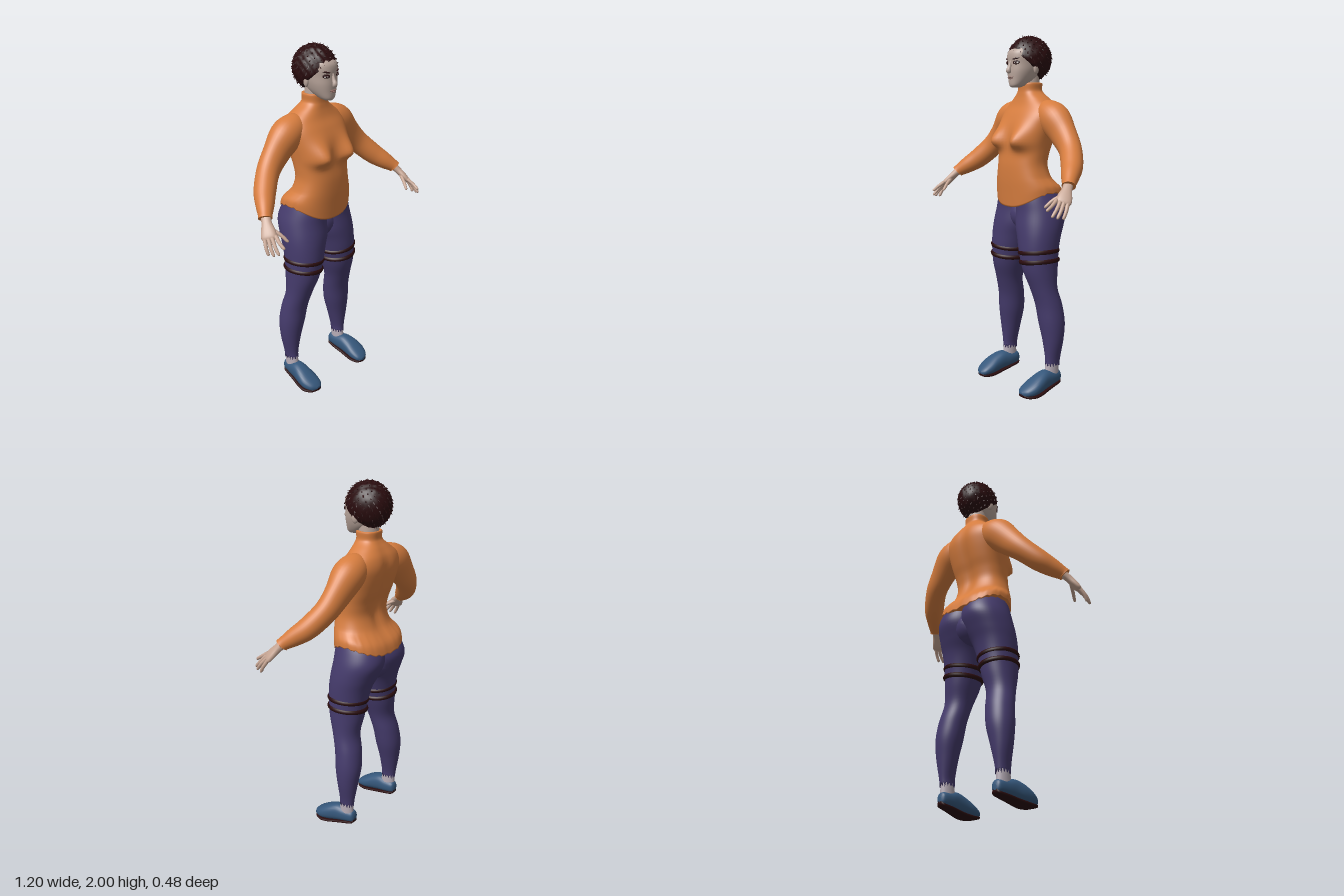
import * as THREE from 'three';
import { mergeGeometries } from 'three/addons/utils/BufferGeometryUtils.js';

const V = (x, y, z) => new THREE.Vector3(x, y, z);
const mat = (name, color) => Object.assign(new THREE.MeshStandardMaterial({ color }), { name });

// Catmull-Rom interpolation of every column of a table of sections
function smooth(rows, n = 5) {
  const out = [], at = (i) => rows[Math.min(Math.max(i, 0), rows.length - 1)];
  for (let i = 0; i < rows.length - 1; i++)
    for (let k = 0; k < n; k++) {
      const t = k / n;
      out.push(rows[i].map((b, c) => {
        const a = at(i - 1)[c], d = at(i + 1)[c], e = at(i + 2)[c];
        return b + 0.5 * t * (d - a + t * (2 * a - 5 * b + 4 * d - e + t * (3 * (b - d) + e - a)));
      }));
    }
  out.push(rows[rows.length - 1]);
  return out;
}

// Superellipse ring around c; rx along X (sine), rz along Z (cosine)
function ring(c, X, Z, rx, rz, n = 32, p = 2) {
  const f = (t) => Math.sign(t) * Math.abs(t) ** (2 / p);
  return Array.from({ length: n }, (_, j) => {
    const a = (j / n) * Math.PI * 2;
    return c.clone().addScaledVector(X, rx * f(Math.sin(a))).addScaledVector(Z, rz * f(Math.cos(a)));
  });
}

// Skin over rings, with both ends closed
function loft(rings) {
  const n = rings[0].length, m = rings.length, pts = rings.flat(), idx = [];
  for (let i = 0; i < m - 1; i++)
    for (let j = 0; j < n; j++) {
      const a = i * n + j, b = i * n + (j + 1) % n;
      idx.push(a, b, b + n, a, b + n, a + n);
    }
  for (const [r, flip] of [[0, true], [m - 1, false]]) {
    const c = pts.length;
    pts.push(rings[r].reduce((s, v) => s.add(v), V(0, 0, 0)).divideScalar(n));
    for (let j = 0; j < n; j++) {
      const a = r * n + j, b = r * n + (j + 1) % n;
      flip ? idx.push(c, b, a) : idx.push(c, a, b);
    }
  }
  const g = new THREE.BufferGeometry().setFromPoints(pts);
  g.setIndex(idx);
  g.computeVertexNormals();
  return g;
}

// Upright body: rows are [y, xMin, xMax, zFront, zBack]
const upright = (rows, p = 2, rule = (v) => v, n = 48) => loft(smooth(rows).map(([y, x0, x1, zf, zb], i) =>
  ring(V((x0 + x1) / 2, y, (zf + zb) / 2), V(1, 0, 0), V(0, 0, 1), (x1 - x0) / 2, (zf - zb) / 2, n, p)
    .map((v, j) => rule(v, i, j))));

// Limb: rows are [x, y, z, radius along side, other radius]
function limb(rows, side, n = 24, p = 2) {
  const r = smooth(rows), at = (i) => V(...r[Math.min(Math.max(i, 0), r.length - 1)].slice(0, 3));
  return loft(r.map((s, i) => {
    const d = at(i + 1).sub(at(i - 1)).normalize();
    const Z = side.clone().addScaledVector(d, -side.dot(d)).normalize();
    return ring(at(i), d.clone().cross(Z), Z, s[4], s[3], n, p);
  }));
}

function mirrored(geo) {
  const g = geo.clone().scale(-1, 1, 1), ix = g.index.array;
  for (let i = 0; i < ix.length; i += 3) [ix[i], ix[i + 1]] = [ix[i + 1], ix[i]];
  return g;
}

const ball = (x, y, z, rx, ry, rz, ay = 0, az = 0) =>
  new THREE.SphereGeometry(1, 20, 14).scale(rx, ry, rz).rotateZ(az).rotateY(ay).translate(x, y, z);

export function createModel() {
  const model = new THREE.Group();
  model.name = 'standingFigure';
  const orange = mat('sweaterOrange', 0xd67d3f), purple = mat('leggingsPurple', 0x453b6c);
  const blue = mat('shoeBlue', 0x36587c), dark = mat('darkMaroon', 0x2a0c0e);
  const skin = mat('handSkin', 0xc6a593), face = mat('faceSkin', 0xb9a59b);
  const sock = mat('sockGrey', 0xb4aab4), lip = mat('lipRose', 0x8f6a63), white = mat('eyeWhite', 0xd8d2ce);
  const add = (name, geo, m) => {
    const mesh = new THREE.Mesh(geo, m);
    mesh.name = name;
    model.add(mesh);
  };
  const pair = (name, geo, m) => {
    add('left' + name, geo, m);
    add('right' + name, mirrored(geo), m);
  };

  // Sweater body: curved hem, chest, spine groove and collar
  const bodyRows = [
    [1.05, .212, .07, -.238], [1.12, .208, .075, -.222], [1.2, .184, .08, -.168], [1.28, .163, .08, -.142],
    [1.35, .165, .073, -.152], [1.42, .174, .068, -.178], [1.5, .188, .054, -.2], [1.56, .193, .03, -.207],
    [1.61, .17, .002, -.197], [1.65, .12, -.012, -.175], [1.68, .08, -.018, -.155], [1.7, .067, -.02, -.146],
    [1.735, .068, -.02, -.146], [1.738, .056, -.03, -.136],
  ].map(([y, w, f, b]) => [y, -w, w, f, b]);
  const g2 = (t, s) => Math.exp(-((t / s) ** 2));
  add('sweaterBody', upright(bodyRows, 2.4, (v, i, j) => {
    const a = (j / 64) * Math.PI * 2, c = Math.cos(a);
    const hem = 1.135 - (c > 0 ? .085 : .055) * c * c + (c < .3 ? .005 * Math.sin(j * 2.3) : 0);
    v.y += (hem - 1.05) * Math.max(0, 1 - (v.y - 1.05) / .17);
    if (c > 0) v.z += .062 * g2(Math.abs(v.x) - .1, .058) * g2(v.y - 1.415, v.y < 1.415 ? .04 : .075);
    else v.z += .022 * g2(v.x, .035) * g2(v.y - 1.4, .2);
    return v;
  }, 64), orange);

  // Sleeves
  pair('Sleeve', limb([
    [.1, 1.58, -.1, .06, .06], [.145, 1.567, -.1, .08, .08], [.205, 1.53, -.1, .085, .093], [.28, 1.455, -.097, .066, .08],
    [.355, 1.38, -.08, .06, .066], [.43, 1.302, -.028, .058, .06], [.48, 1.255, .025, .048, .05],
    [.517, 1.222, .065, .036, .037], [.525, 1.212, .074, .036, .037],
  ], V(0, 0, 1), 32), orange);

  // Hands: palm, four fingers and thumb
  const across = V(-.05, .02, .05).normalize();
  pair('Palm', limb([
    [.51, 1.23, .06, .026, .024], [.533, 1.195, .092, .027, .02], [.55, 1.163, .12, .038, .019],
    [.562, 1.14, .138, .04, .016], [.568, 1.128, .147, .032, .009],
  ], across, 20, 2.3), skin);
  const fingers = [
    [[.54, 1.15, .163], [.55, 1.125, .2], [.55, 1.1, .237]],
    [[.557, 1.142, .155], [.57, 1.105, .19], [.574, 1.07, .222]],
    [[.569, 1.136, .142], [.584, 1.1, .172], [.588, 1.062, .2]],
    [[.579, 1.132, .125], [.592, 1.095, .147], [.594, 1.058, .167]],
    [[.535, 1.175, .11], [.508, 1.145, .16], [.487, 1.107, .2]],
  ];
  pair('Fingers', mergeGeometries(fingers.map(([a, b, c]) => limb([
    [...a, .011, .011], [...b, .0095, .0095], [...V(...b).lerp(V(...c), .8).toArray(), .008, .008], [...c, .003, .003],
  ], across, 10))), skin);

  // Leggings with ragged ankle hems
  pair('Legging', upright([
    [.16, .172, .238, -.045, -.135], [.2, .168, .243, -.045, -.14], [.3, .143, .262, -.035, -.155],
    [.4, .116, .268, -.02, -.166], [.5, .1, .258, -.008, -.155], [.6, .083, .243, .02, -.132],
    [.7, .05, .24, .053, -.145], [.8, .024, .24, .066, -.157], [.88, 0, .242, .066, -.175],
    [.95, -.03, .24, .062, -.205], [1.03, -.04, .228, .052, -.235], [1.1, -.04, .205, .05, -.22], [1.16, -.04, .18, .04, -.18],
  ], 2.1, (v, i, j) => {
    if (i === 0) v.y += .018 * Math.sin(j * 1.9);
    return v;
  }), purple);
  add('pelvis', ball(0, 1.0, -.085, .12, .11, .127), purple);

  // Thigh straps, two per leg
  for (const [name, y, x0] of [['UpperStrap', .803, .03], ['LowerStrap', .75, .041]]) {
    const cx = (x0 + .236) / 2, path = ring(V(cx, y, -.045), V(1, 0, 0), V(0, 0, 1), .236 - cx, .105, 24);
    path.forEach((v) => { v.y += .11 * (v.x - cx); });
    pair(name, new THREE.TubeGeometry(new THREE.CatmullRomCurve3(path, true), 48, .014, 8, true), dark);
  }

  // Socks, shoes and soles
  pair('Sock', upright([
    [.06, .172, .236, -.03, -.135], [.12, .174, .235, -.042, -.132], [.2, .178, .232, -.053, -.128],
  ], 2, undefined, 24), sock);
  const shoeRows = smooth([
    [-.145, .2, .012, .05, .085], [-.132, .2, .03, .037, .112], [-.08, .203, .041, .027, .12],
    [-.03, .208, .046, .016, .128], [.02, .213, .054, .006, .113], [.07, .213, .058, 0, .085],
    [.115, .208, .043, .002, .055], [.135, .203, .014, .01, .035],
  ]);
  const shoe = (low, high, grow, p) => loft(shoeRows.map(([z, x, w, y0, y1]) => {
    const b = y0 + low, t = high ? y0 + high : y1;
    return ring(V(x, (b + t) / 2, z), V(-1, 0, 0), V(0, 1, 0), w * grow, (t - b) / 2, 28, p);
  }));
  pair('Shoe', shoe(.007, 0, 1, 2.3), blue);
  pair('Sole', shoe(0, .016, .97, 4), dark);

  // Head, neck and ears
  add('head', upright([
    [1.712, .02, .04, -.005], [1.725, .04, .05, -.04], [1.76, .062, .053, -.1], [1.8, .076, .055, -.13],
    [1.84, .083, .053, -.16], [1.88, .086, .055, -.17], [1.91, .083, .046, -.17], [1.94, .068, .01, -.16], [1.96, .03, -.03, -.1],
  ].map(([y, w, f, b]) => [y, -w, w, f, b]), 2.3), face);
  add('neck', new THREE.CylinderGeometry(.054, .058, .14, 28).translate(0, 1.72, -.08), face);
  pair('Ear', ball(.088, 1.815, -.058, .012, .032, .02, .3), face);

  // Nose, lips, eyes and brows
  add('nose', limb([
    [0, 1.855, .05, .005, .007], [0, 1.825, .058, .009, .01], [0, 1.803, .066, .014, .014], [0, 1.792, .06, .012, .01],
  ], V(1, 0, 0), 14), face);
  add('lips', mergeGeometries([ball(0, 1.768, .053, .024, .004, .009), ball(0, 1.76, .052, .018, .004, .009)]), lip);
  pair('EyeLine', ball(.043, 1.846, .044, .021, .011, .004, .5, .08), dark);
  pair('EyeWhite', ball(.044, 1.844, .0455, .014, .006, .004, .5), white);
  pair('Pupil', ball(.044, 1.845, .0475, .006, .006, .004, .5), dark);
  pair('Brow', ball(.042, 1.867, .047, .022, .004, .004, .5, .15), dark);

  // Short hair: cap cut along a sloping hairline, covered with small tufts
  const hairline = (z) => 1.745 + .83 * (z + .135);
  const cap = new THREE.SphereGeometry(1, 56, 40), pos = cap.attributes.position;
  for (let i = 0; i < pos.count; i++) {
    const v = V(0, 0, 0).fromBufferAttribute(pos, i);
    const k = 1 + .025 * Math.sin(17 * v.x + 6 * v.y) * Math.sin(13 * v.z + 9 * v.y);
    const z = -.08 + .127 * k * v.z;
    pos.setXYZ(i, .111 * k * v.x, Math.max(1.87 + .123 * k * v.y, hairline(z)), z);
  }
  cap.computeVertexNormals();
  add('hairCap', cap, dark);
  const tufts = [];
  for (let i = 0; i < 240; i++) {
    const h = 1 - (2 * (i + .5)) / 240, a = i * 2.39996, r = Math.sqrt(1 - h * h);
    const n = V(r * Math.sin(a), h, r * Math.cos(a));
    const c = V(.107 * n.x, 1.87 + .116 * n.y, -.08 + .122 * n.z);
    if (c.y < hairline(c.z) + .012) continue;
    const d = V(.25 * Math.sin(i * 5.1), -.9, -.35).addScaledVector(n, .9 - n.dot(V(0, -.9, -.35))).normalize();
    const q = new THREE.Quaternion().setFromUnitVectors(V(0, 1, 0), d);
    tufts.push(new THREE.ConeGeometry(.013, .034, 5).applyQuaternion(q).translate(c.x, c.y, c.z));
  }
  add('hairTufts', mergeGeometries(tufts), dark);
  return model;
}
